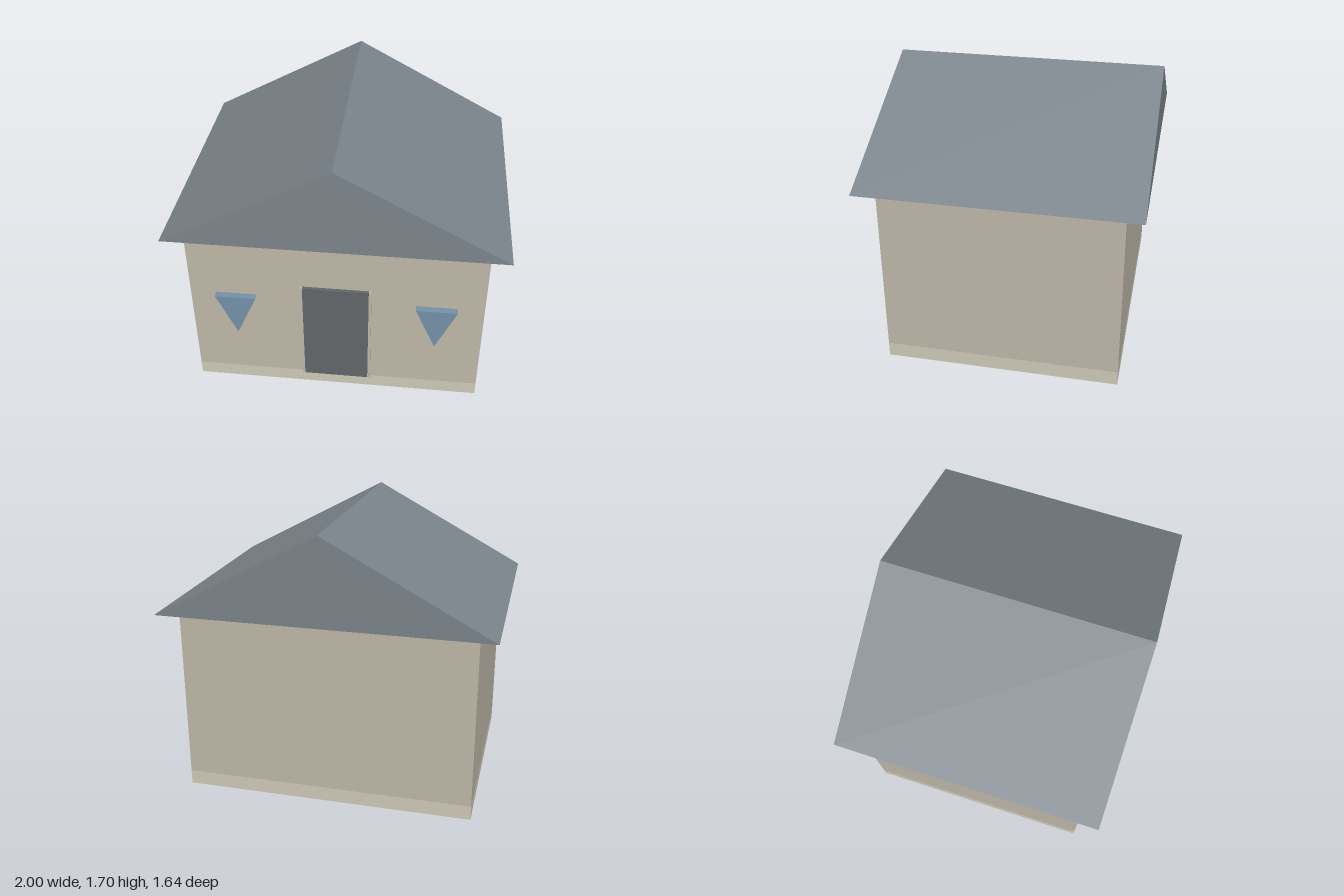
import * as THREE from 'three';

const WALL_FRONT = 0.713;

function paint(color) {
  const material = new THREE.MeshStandardMaterial();
  material.color.set(color);
  return material;
}

// Box given by its lowest and highest corners
function box(name, min, max, material) {
  const size = max.map((v, i) => v - min[i]);
  const mesh = new THREE.Mesh(new THREE.BoxGeometry(...size), material);
  mesh.position.set(...max.map((v, i) => (v + min[i]) / 2));
  mesh.name = name;
  return mesh;
}

// Triangular prism running along z
function prism(name, corners, z0, z1, material) {
  const shape = new THREE.Shape(corners.map(([x, y]) => new THREE.Vector2(x, y)));
  const geometry = new THREE.ExtrudeGeometry(shape, { depth: z1 - z0, bevelEnabled: false });
  const mesh = new THREE.Mesh(geometry, material);
  mesh.position.z = z0;
  mesh.name = name;
  return mesh;
}

export function createModel() {
  const house = new THREE.Group();
  house.name = 'house';

  const wall = paint(0xbfb9a9);
  const plinth = paint(0xd0cbb9);
  const slate = paint(0x7c858c);
  const doorPaint = paint(0x62676a);
  const glass = paint(0x7592a8);

  // Plinth and walls share one footprint
  house.add(box('plinth', [-0.89, 0, -WALL_FRONT], [0.89, 0.09, WALL_FRONT], plinth));
  house.add(box('walls', [-0.89, 0.09, -WALL_FRONT], [0.89, 1.165, WALL_FRONT], wall));

  // Gable roof with eaves all round
  house.add(prism('roof', [[-1, 1.165], [1, 1.165], [0, 1.7]], -0.82, 0.82, slate));

  // Door with a slim jamb on each side
  house.add(box('door', [-0.2, 0.09, WALL_FRONT - 0.01], [0.2, 0.805, 0.733], doorPaint));
  for (const [side, name] of [[1, 'leftDoorJamb'], [-1, 'rightDoorJamb']]) {
    const jamb = box(name, [-0.008, 0.09, WALL_FRONT - 0.01], [0.008, 0.805, 0.731], wall);
    jamb.position.x = side * 0.208;
    house.add(jamb);
  }

  // Downward-pointing triangular windows
  for (const [side, name] of [[1, 'leftWindow'], [-1, 'rightWindow']]) {
    const pane = prism(name, [[0, 0.433], [0.124, 0.715], [-0.124, 0.715]], WALL_FRONT - 0.01, 0.755, glass);
    pane.position.x = side * 0.607;
    house.add(pane);
  }

  return house;
}
